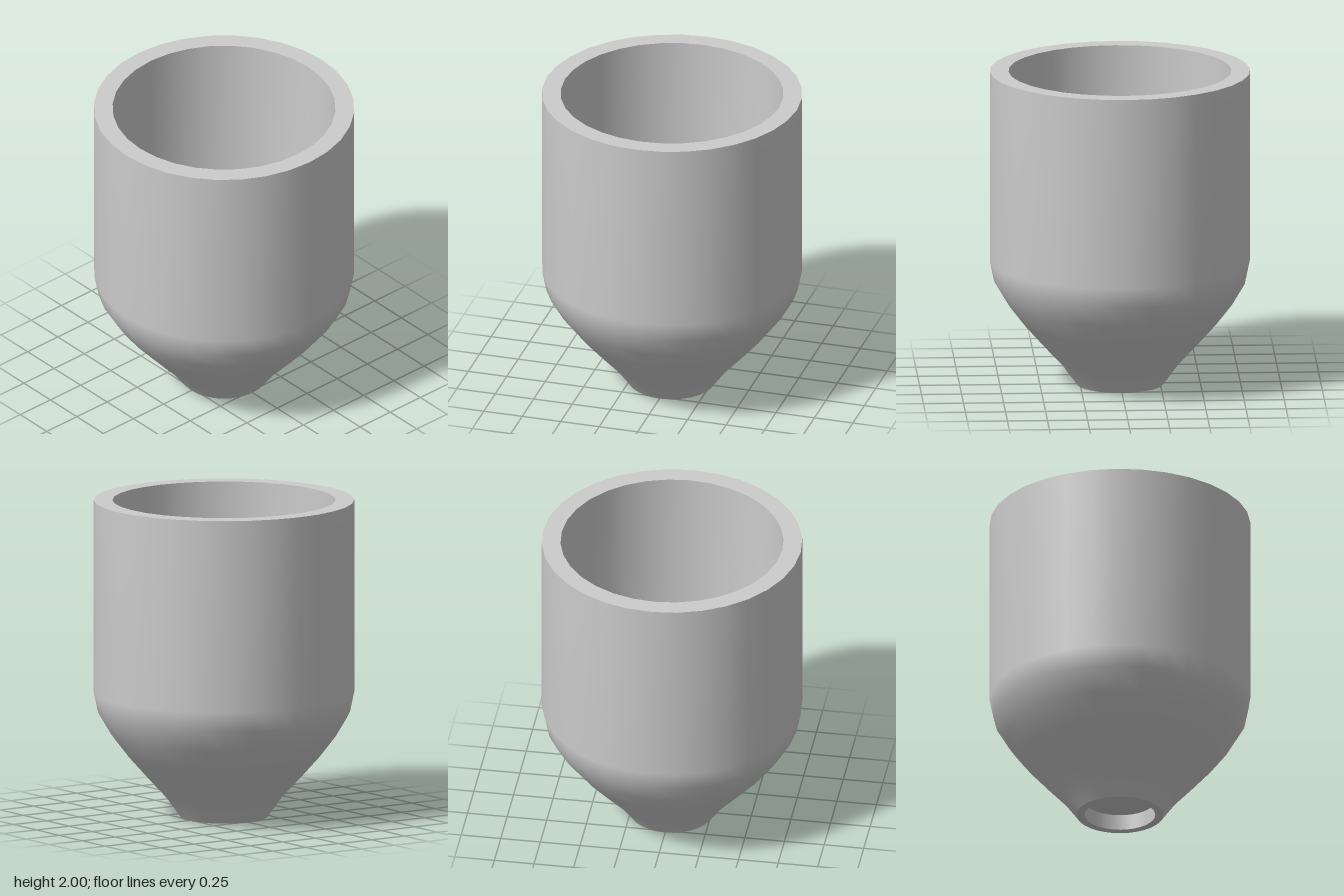
import * as THREE from 'three';

const SIDES = 32;

export function createModel() {
  const group = new THREE.Group();
  const material = new THREE.MeshStandardMaterial({ color: 0xcccccc });

  // Each profile is smooth; the sharp edges fall where two profiles meet.
  const addRing = (name, profile) => {
    const points = profile.map(([r, y]) => new THREE.Vector2(r, y));
    const mesh = new THREE.Mesh(new THREE.LatheGeometry(points, SIDES), material);
    mesh.name = name;
    group.add(mesh);
  };

  // Recess under the foot
  addRing('recessCeiling', [[0, 0.1], [0.22, 0.1]]);
  addRing('recessWall', [[0.22, 0.1], [0.22, 0]]);
  addRing('footRim', [[0.22, 0], [0.27, 0]]);

  // Tapered outside and straight upper wall
  addRing('outerWall', [
    [0.27, 0], [0.365, 0.13], [0.485, 0.26], [0.605, 0.395],
    [0.705, 0.525], [0.785, 0.66], [0.812, 0.79], [0.812, 2],
  ]);

  // Flat lip
  addRing('topRim', [[0.812, 2], [0.695, 2]]);

  // Hollow inside, down to the rounded floor
  addRing('innerWall', [
    [0.695, 2], [0.695, 0.8], [0.67, 0.7], [0.6, 0.575],
    [0.51, 0.465], [0.4, 0.345], [0.33, 0.27], [0, 0.22],
  ]);

  return group;
}
